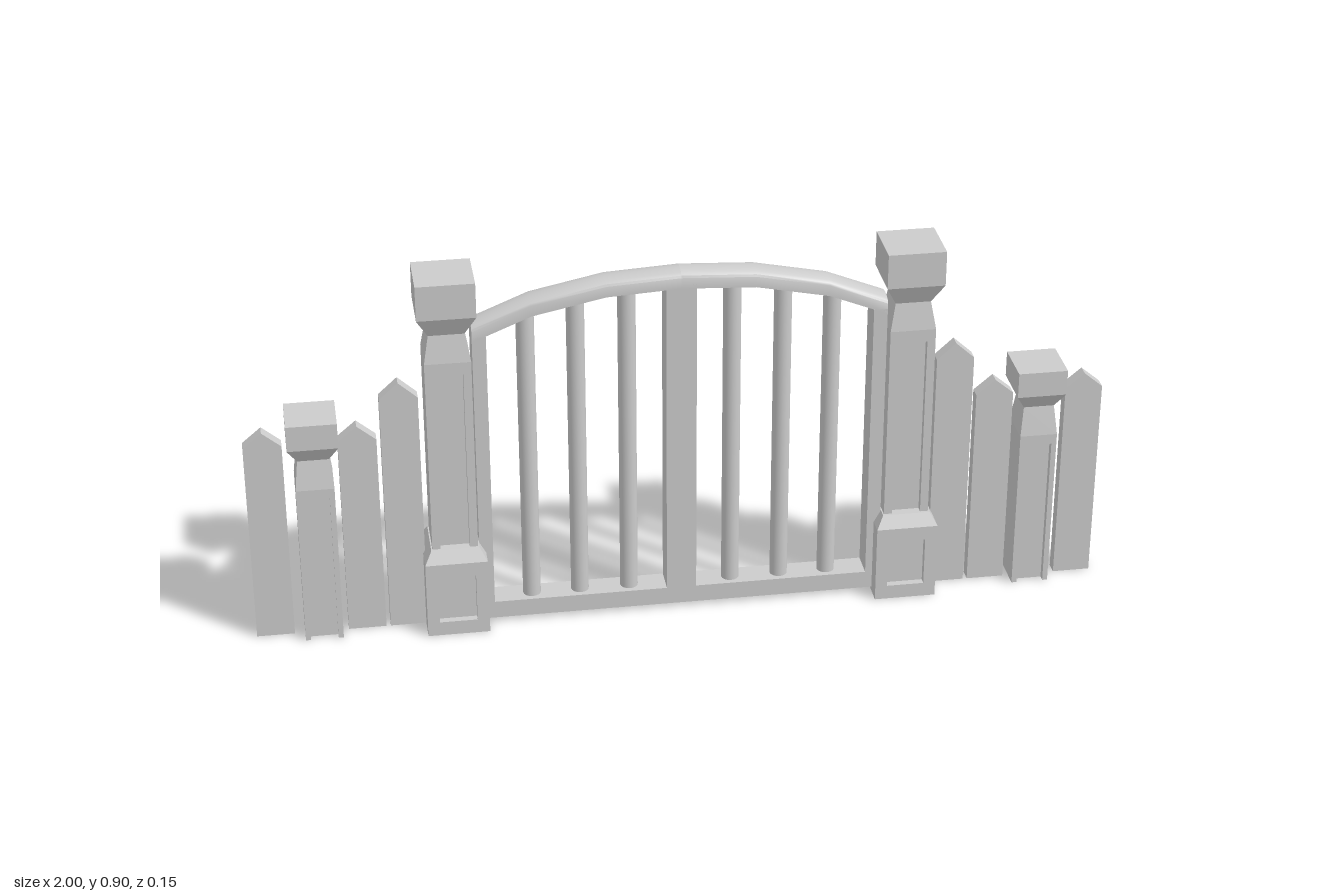
import * as THREE from 'three';
import { toCreasedNormals } from 'three/addons/utils/BufferGeometryUtils.js';

const material = new THREE.MeshStandardMaterial({ color: 0xcccccc });
const flat = new THREE.MeshStandardMaterial({ color: 0xcccccc, flatShading: true });

function add(parent, name, geometry, mat = flat) {
  const mesh = new THREE.Mesh(geometry, mat);
  mesh.name = name;
  parent.add(mesh);
  return mesh;
}

// Box given by its x and y limits and half depth
function slab(x0, x1, y0, y1, hz) {
  return new THREE.BoxGeometry(x1 - x0, y1 - y0, hz * 2)
    .translate((x0 + x1) / 2, (y0 + y1) / 2, 0);
}

// Closed four-sided stack of [half width, y] steps
function squareStack(steps, depthRatio = 1) {
  const top = steps[steps.length - 1][1];
  const pts = [[0, steps[0][1]], ...steps, [0, top]]
    .map(([h, y]) => new THREE.Vector2(h * Math.SQRT2, y));
  return new THREE.LatheGeometry(pts, 4).rotateY(Math.PI / 4).scale(1, 1, depthRatio);
}

const polygon = pts => new THREE.Shape(pts.map(p => new THREE.Vector2(...p)));

// Body with a raised frame on front and back
function framedBlock(parent, name, shape, hx, y0, y1, hz, depth) {
  add(parent, name + 'Core', slab(-hx, hx, y0, y1, hz - depth));
  for (const z of [hz - depth, -hz]) {
    const frame = new THREE.ExtrudeGeometry(shape, { depth, bevelEnabled: false });
    add(parent, name + 'Frame', frame.translate(0, 0, z));
  }
}

// Frame outline open at the bottom
function archway(hx, y0, y1, panelX, panelTop) {
  return polygon([[-hx, y0], [-panelX, y0], [-panelX, panelTop], [panelX, panelTop],
    [panelX, y0], [hx, y0], [hx, y1], [-hx, y1]]);
}

function tallPost() {
  const post = new THREE.Group();
  post.name = 'gatePost';
  const base = polygon([[-0.0725, 0], [0.0725, 0], [0.0725, 0.19], [-0.0725, 0.19]]);
  base.holes.push(new THREE.Path(
    [[-0.044, 0.035], [-0.044, 0.155], [0.044, 0.155], [0.044, 0.035]]
      .map(p => new THREE.Vector2(...p))));
  framedBlock(post, 'base', base, 0.0725, 0, 0.19, 0.075, 0.017);
  add(post, 'baseChamfer', squareStack([[0.0725, 0.19], [0.056, 0.22]], 1.034));
  framedBlock(post, 'shaft', archway(0.053, 0.195, 0.7, 0.034, 0.67), 0.053, 0.195, 0.7, 0.052, 0.016);
  add(post, 'cap', squareStack([[0.053, 0.7], [0.041, 0.766], [0.067, 0.816], [0.067, 0.9]], 0.98));
  return post;
}

function shortPost() {
  const post = new THREE.Group();
  post.name = 'fencePost';
  framedBlock(post, 'shaft', archway(0.044, 0, 0.4, 0.032, 0.375), 0.044, 0, 0.4, 0.05, 0.016);
  // Neck narrows more in depth than in width
  const neck = squareStack([[0.05, 0.4], [0.036, 0.47], [0.058, 0.508], [0.058, 0.57]]);
  const p = neck.attributes.position;
  for (let i = 0; i < p.count; i++) {
    if (p.getY(i) < 0.41) p.setX(i, p.getX(i) * 0.88);
  }
  add(post, 'cap', neck);
  return post;
}

function picket(x0, x1, shoulder, tip) {
  const shape = polygon([[x0, 0], [x1, 0], [x1, shoulder], [(x0 + x1) / 2, tip], [x0, shoulder]]);
  return new THREE.ExtrudeGeometry(shape, { depth: 0.03, bevelEnabled: false }).translate(0, 0, -0.015);
}

// Top rail: a rounded section swept along the arch
function archRail() {
  const stations = [[0, 0.877], [0.17, 0.868], [0.34, 0.833], [0.475, 0.778]];
  const section = [[-0.033, -0.04], [0.033, -0.04], [0.033, -0.014]];
  for (let i = 1; i < 8; i++) {
    const a = i / 8 * Math.PI;
    section.push([0.033 * Math.cos(a), -0.014 + 0.014 * Math.sin(a)]);
  }
  section.push([-0.033, -0.014]);
  const n = section.length, pos = [], idx = [];
  for (const [x, y] of stations) {
    for (const [z, dy] of section) pos.push(x, y + dy, z);
  }
  for (let s = 0; s < stations.length - 1; s++) {
    for (let i = 0; i < n; i++) {
      const a = s * n + i, b = s * n + (i + 1) % n;
      idx.push(a, b, a + n, b, b + n, a + n);
    }
  }
  const last = (stations.length - 1) * n;
  for (let i = 1; i < n - 1; i++) {
    idx.push(0, i + 1, i, last, last + i, last + i + 1);
  }
  const g = new THREE.BufferGeometry();
  g.setAttribute('position', new THREE.Float32BufferAttribute(pos, 3));
  g.setIndex(idx);
  return toCreasedNormals(g, 0.65);
}

function gateLeaf() {
  const leaf = new THREE.Group();
  leaf.name = 'gateLeaf';
  add(leaf, 'archRail', archRail(), material).material.side = THREE.DoubleSide;
  add(leaf, 'bottomRail', slab(0.035, 0.443, 0.01, 0.053, 0.033));
  add(leaf, 'innerStile', slab(0, 0.035, 0.01, 0.845, 0.033));
  add(leaf, 'outerStile', slab(0.443, 0.475, 0.01, 0.75, 0.033));
  for (const [x, top] of [[0.121, 0.84], [0.238, 0.825], [0.352, 0.8]]) {
    const bar = new THREE.CylinderGeometry(0.021, 0.021, top - 0.045, 16);
    add(leaf, 'bar', bar.translate(x, (top + 0.045) / 2, 0), material);
  }
  return leaf;
}

export function createModel() {
  const model = new THREE.Group();
  model.name = 'gateway';
  // The two halves are the same, turned about the middle
  for (const [name, turn] of [['leftHalf', 0], ['rightHalf', Math.PI]]) {
    const half = new THREE.Group();
    half.name = name;
    half.rotation.y = turn;
    half.add(gateLeaf());
    const tall = tallPost(), short = shortPost();
    tall.position.x = 0.532;
    short.position.x = 0.844;
    half.add(tall, short);
    for (const p of [[0.6, 0.688, 0.6, 0.64], [0.698, 0.786, 0.5, 0.537], [0.912, 1, 0.5, 0.537]]) {
      add(half, 'picket', picket(...p));
    }
    model.add(half);
  }
  return model;
}
